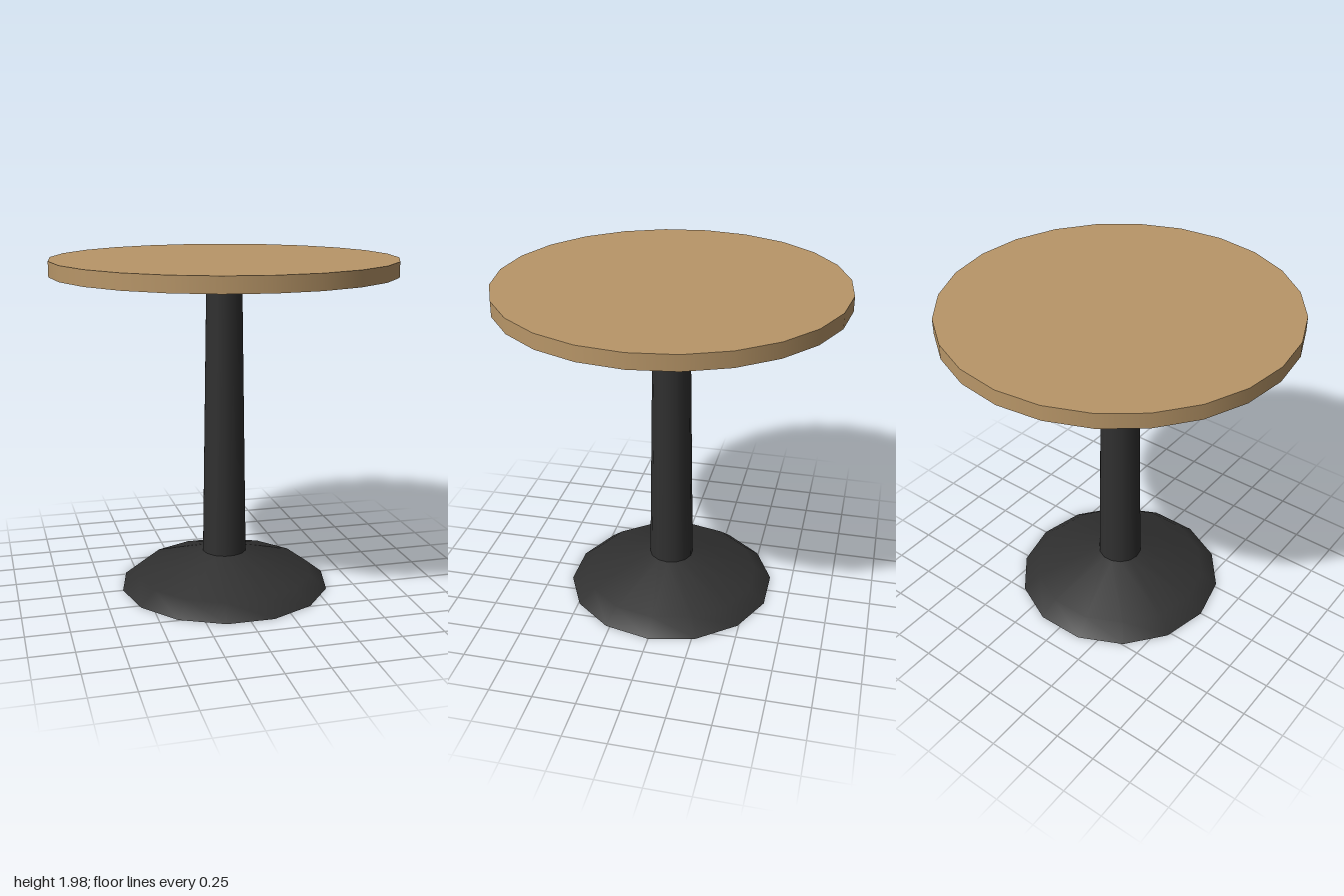
import * as THREE from 'three';

const wood = new THREE.MeshStandardMaterial({ color: 0xb89668 });
wood.name = 'wood';
const blackMetal = new THREE.MeshStandardMaterial({ color: 0x303030 });
blackMetal.name = 'blackMetal';

const LEG_SIDES = 14;
const TOP_SIDES = 24;

// Tapered round section between two heights, with a corner on the x axis
function section(name, rBottom, rTop, yBottom, yTop, sides, material, open = false) {
  const geometry = new THREE.CylinderGeometry(
    rTop, rBottom, yTop - yBottom, sides, 1, open, Math.PI / 2);
  const mesh = new THREE.Mesh(geometry, material);
  mesh.name = name;
  mesh.position.y = (yBottom + yTop) / 2;
  return mesh;
}

export function createModel() {
  const table = new THREE.Group();
  table.name = 'pedestalTable';

  // Foot: shallow dome with a softly shaded shoulder
  const profile = [[0.63, 0], [0.53, 0.08], [0.13, 0.21]]
    .map(([r, y]) => new THREE.Vector2(r, y));
  const foot = new THREE.Mesh(
    new THREE.LatheGeometry(profile, LEG_SIDES, Math.PI / 2), blackMetal);
  foot.name = 'foot';
  table.add(foot);

  // Flat underside closing the foot
  const underside = new THREE.Mesh(new THREE.CircleGeometry(0.63, LEG_SIDES), blackMetal);
  underside.name = 'footUnderside';
  underside.rotation.x = Math.PI / 2;
  table.add(underside);

  // Column, flared support and table top
  table.add(
    section('column', 0.133, 0.107, 0.21, 1.79, LEG_SIDES, blackMetal, true),
    section('topSupport', 0.107, 0.302, 1.79, 1.892, LEG_SIDES, blackMetal, true),
    section('tableTop', 1, 1, 1.892, 1.98, TOP_SIDES, wood),
  );
  return table;
}
